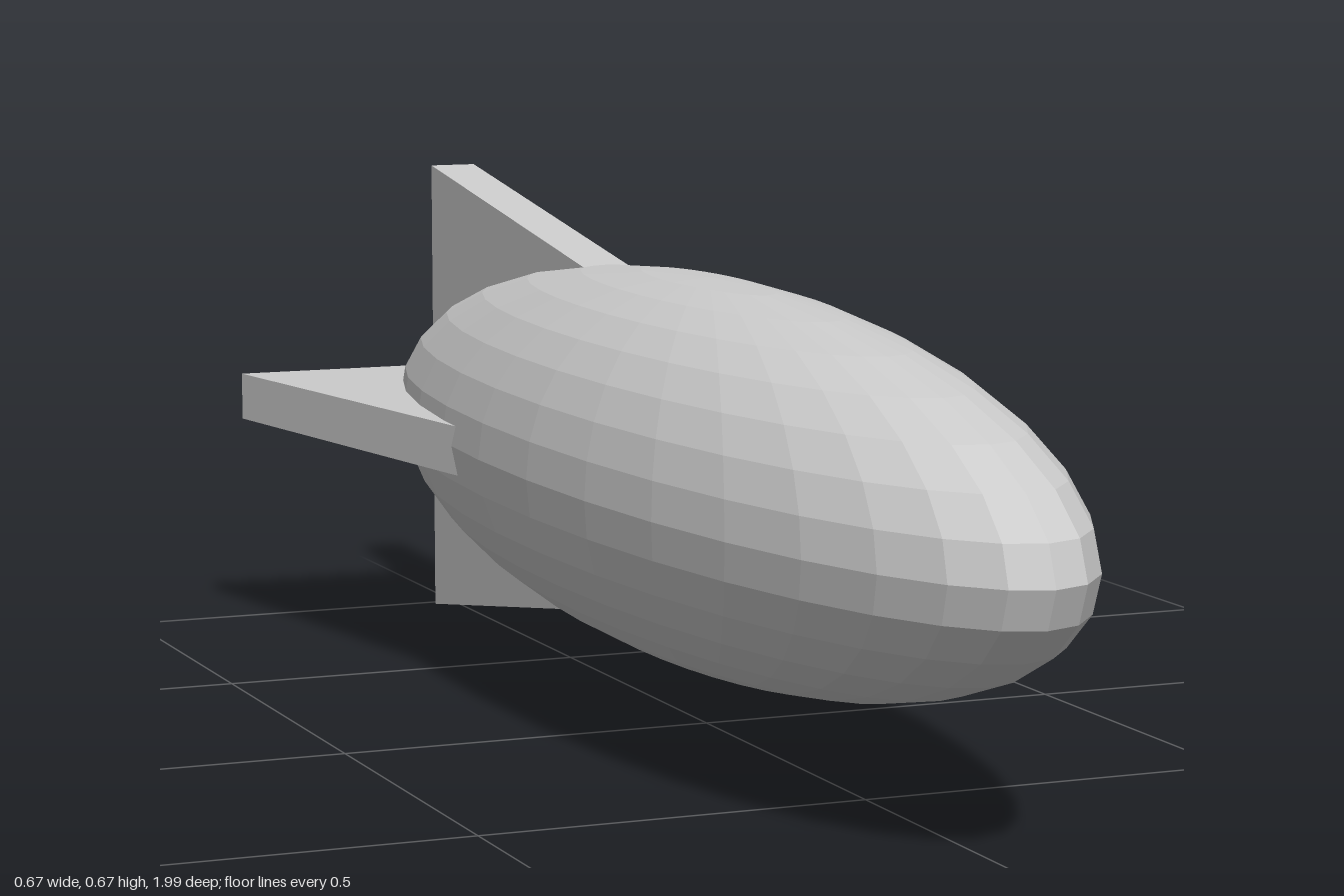
import * as THREE from 'three';

export function createModel() {
  const model = new THREE.Group();
  model.name = 'airship';
  const material = new THREE.MeshStandardMaterial({ color: 0xcccccc, flatShading: true });

  // Hull: faceted sphere stretched along z
  const hull = new THREE.Mesh(new THREE.SphereGeometry(1, 32, 16), material);
  hull.name = 'hull';
  hull.scale.set(0.2525, 0.2525, 0.997);
  hull.position.set(0.002, 0.338, -0.003);
  model.add(hull);

  // Fin outline: x is the span from the axis, y runs towards the tail
  const thickness = 0.067;
  const outline = new THREE.Shape([
    new THREE.Vector2(0, 0.3),
    new THREE.Vector2(0.23, 0.3),
    new THREE.Vector2(0.333, 0.985),
    new THREE.Vector2(0, 0.985),
  ]);
  const finGeometry = new THREE.ExtrudeGeometry(outline, { depth: thickness, bevelEnabled: false });
  finGeometry.translate(0, 0, -thickness / 2);
  finGeometry.rotateX(-Math.PI / 2);

  // Four tail fins in a cross
  ['leftFin', 'topFin', 'rightFin', 'bottomFin'].forEach((name, i) => {
    const fin = new THREE.Mesh(finGeometry, material);
    fin.name = name;
    fin.position.y = 0.333;
    fin.rotation.z = (i * Math.PI) / 2;
    model.add(fin);
  });

  return model;
}
